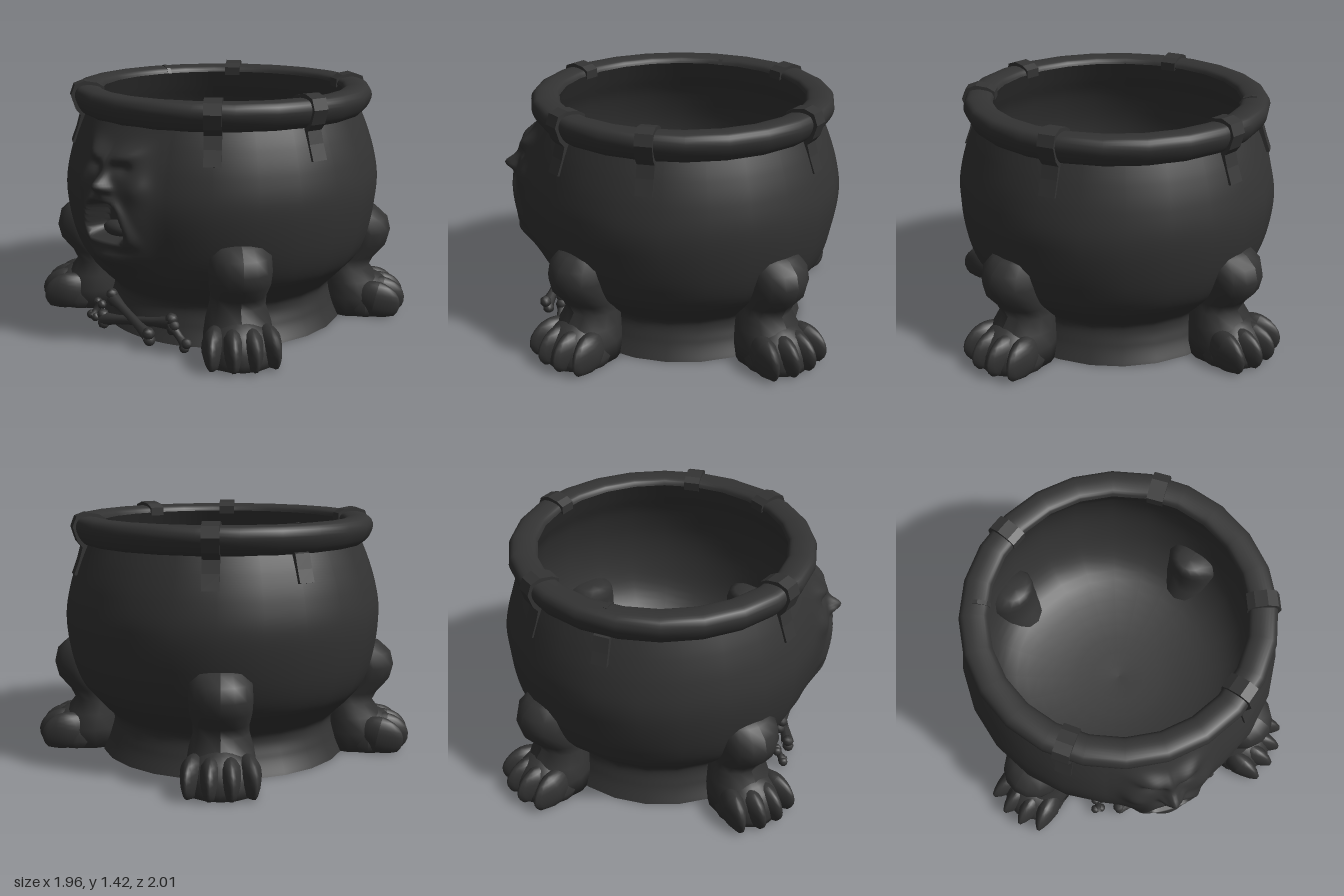
import * as THREE from 'three';

const iron = new THREE.MeshStandardMaterial({ color: 0x333333 });
iron.name = 'dark iron';

function add(parent, name, geo, x = 0, y = 0, z = 0) {
  const m = new THREE.Mesh(geo, iron);
  m.name = name;
  m.position.set(x, y, z);
  parent.add(m);
  return m;
}

// moves every vertex by a rule, then refreshes the normals
function warp(geo, rule) {
  const p = geo.attributes.position, v = new THREE.Vector3();
  for (let i = 0; i < p.count; i++) {
    rule(v.fromBufferAttribute(p, i));
    p.setXYZ(i, v.x, v.y, v.z);
  }
  geo.computeVertexNormals();
  return geo;
}

const points = list => list.map(([a, b]) => new THREE.Vector2(a, b));
const bump = (x, y, cx, cy, sx, sy) => Math.exp(-(((x - cx) / sx) ** 2) - ((y - cy) / sy) ** 2);

const bodyProfile = new THREE.SplineCurve(points([
  [0.73, 0], [0.685, 0.1], [0.665, 0.21], [0.745, 0.3], [0.83, 0.4], [0.885, 0.53],
  [0.92, 0.7], [0.927, 0.85], [0.9, 1.0], [0.855, 1.14], [0.80, 1.27],
]));

// outward relief of the shouting face
function faceRelief(px, y) {
  const x = Math.abs(px);
  let d = 0.055 * Math.exp(-((x / 0.23) ** 4) - ((y - 0.81) / 0.35) ** 4);
  d += 0.04 * bump(x, y, 0.08, 1.09 + 0.25 * (x - 0.08), 0.09, 0.045); // brows
  d -= 0.025 * bump(x, y, 0.095, 1.03, 0.05, 0.03);     // eye sockets
  d += 0.02 * bump(x, y, 0, 1.02, 0.03, 0.07);          // nose bridge
  d += 0.08 * bump(x, y, 0, 0.94, 0.036, 0.045);        // nose tip
  d += 0.03 * bump(x, y, 0.045, 0.925, 0.025, 0.022);   // nostrils
  d += 0.02 * bump(x, y, 0.2, 0.93, 0.06, 0.07);        // cheekbones
  d += 0.065 * bump(x, y, 0, 0.53, 0.13, 0.065);        // chin
  const w = 0.115 - 0.25 * (y - 0.74);                  // open mouth
  const q = ((x / w) ** 4 + ((y - 0.74) / 0.1) ** 4) ** 0.25;
  d += 0.024 * Math.exp(-(((q - 1.2) / 0.25) ** 2));
  d -= 0.13 * (1 - THREE.MathUtils.smoothstep(q, 0.88, 1.05));
  return d;
}

function buildBody(pot) {
  const gap = Math.PI / 8, outer = bodyProfile.getPoints(100);
  add(pot, 'belly', new THREE.LatheGeometry(outer, 21, gap, 2 * Math.PI - 2 * gap));
  const front = new THREE.LatheGeometry(outer, 76, -gap, 2 * gap);
  add(pot, 'face', warp(front, v => {
    const r = Math.hypot(v.x, v.z);
    const fade = THREE.MathUtils.smoothstep(gap - Math.abs(Math.atan2(v.x, v.z)), 0, 0.05);
    const k = 1 + fade * faceRelief(v.x, v.y) / r;
    v.x *= k;
    v.z *= k;
  }));
  add(pot, 'tongue', new THREE.SphereGeometry(1, 14, 10), 0, 0.675, 0.87).scale.set(0.1, 0.045, 0.055);
  add(pot, 'underside', new THREE.CircleGeometry(0.73, 24)).rotation.x = Math.PI / 2;

  // rounded rim, then the hollow inside
  const rim = new THREE.SplineCurve(points([
    [0.77, 1.235], [0.82, 1.235], [0.855, 1.27], [0.877, 1.33], [0.858, 1.378],
    [0.81, 1.392], [0.76, 1.388], [0.725, 1.375], [0.712, 1.35],
  ]));
  add(pot, 'rim', new THREE.LatheGeometry(rim.getPoints(24), 24));
  const hollow = new THREE.SplineCurve(points([
    [0.712, 1.35], [0.765, 1.24], [0.83, 1.1], [0.875, 0.9], [0.865, 0.7], [0.8, 0.5],
    [0.65, 0.36], [0.35, 0.29], [0, 0.27],
  ]));
  add(pot, 'inside', new THREE.LatheGeometry(hollow.getPoints(32), 24));
}

// strap cross-section in (radius, height), extruded to its width
function strap(pot, name, angle, outline, width) {
  const geo = new THREE.ExtrudeGeometry(new THREE.Shape(points(outline)), { depth: width, bevelEnabled: false });
  geo.translate(0, 0, -width / 2);
  geo.rotateY(-Math.PI / 2);
  add(pot, name, geo).rotation.y = angle;
}

function buildStraps(pot) {
  const full = [
    [0.70, 1.33], [0.70, 1.38], [0.74, 1.404], [0.81, 1.416], [0.868, 1.395], [0.891, 1.335],
    [0.866, 1.255], [0.838, 1.22], [0.858, 1.15], [0.89, 1.065], [0.87, 1.06], [0.835, 1.13],
    [0.80, 1.22], [0.84, 1.27], [0.84, 1.36], [0.76, 1.37],
  ];
  for (const a of [0.65, 1.33, 2.54, -2.53, -0.66]) strap(pot, 'rimStrap', a, full, 0.095);
  // the broken strap keeps only its lower end and a sliver on the rim
  strap(pot, 'brokenStrap', -1.94, [[0.8, 1.26], [0.84, 1.24], [0.865, 1.16], [0.89, 1.09], [0.865, 1.085], [0.82, 1.17]], 0.09);
  strap(pot, 'strapSliver', -1.93, [[0.70, 1.35], [0.72, 1.383], [0.77, 1.398], [0.80, 1.396], [0.78, 1.37]], 0.025);
}

// upright limb from rings of [height, forward centre, half width, half depth]
function limb(rings, sides) {
  const geo = new THREE.LatheGeometry(rings.map((r, i) => new THREE.Vector2(1, i)), sides);
  return warp(geo, v => {
    const [y, c, w, d] = rings[Math.round(v.y)];
    v.set(v.x * w, y, c + v.z * d);
  });
}

function buildLeg(pot, angle) {
  const leg = new THREE.Group();
  leg.name = 'leg';
  leg.rotation.y = angle;
  pot.add(leg);
  add(leg, 'shin', limb([
    [0, 0.8, 0.001, 0.001], [0.001, 0.8, 0.19, 0.2], [0.11, 0.8, 0.195, 0.2], [0.2, 0.78, 0.18, 0.18], [0.28, 0.75, 0.155, 0.15],
    [0.34, 0.775, 0.155, 0.155], [0.42, 0.835, 0.17, 0.165], [0.5, 0.855, 0.175, 0.165], [0.58, 0.845, 0.17, 0.155],
    [0.635, 0.815, 0.14, 0.125], [0.66, 0.79, 0.085, 0.075], [0.662, 0.78, 0.001, 0.001],
  ], 14));
  const onGround = v => { v.y = Math.max(v.y, 0); };
  const foot = new THREE.SphereGeometry(1, 16, 12).scale(0.2, 0.2, 0.2).translate(0, 0.04, 0.87);
  add(leg, 'foot', warp(foot, onGround));
  // four fanned toes, tall and narrowing to a claw in front
  for (let i = 0; i < 4; i++) {
    const s = i - 1.5;
    const toe = warp(new THREE.SphereGeometry(1, 14, 12), v => {
      if (v.z > 0) v.x *= 1 - 0.5 * v.z;
      v.set(v.x * 0.07, v.y * 0.118, v.z * 0.15);
    });
    toe.rotateX(0.2).rotateY(s * 0.16).translate(s * 0.098, 0.09, 0.975 - 0.018 * s * s);
    add(leg, 'toe', warp(toe, onGround));
  }
}

// a shaft with two knuckles at each end
function buildBone(parent, from, to, r) {
  const a = new THREE.Vector3(...from), b = new THREE.Vector3(...to);
  const len = a.distanceTo(b), bone = new THREE.Group();
  bone.name = 'bone';
  bone.position.copy(a).lerp(b, 0.5);
  bone.quaternion.setFromUnitVectors(new THREE.Vector3(0, 1, 0), b.clone().sub(a).normalize());
  parent.add(bone);
  const shaft = [[r * 1.25, -len / 2], [r * 0.85, -len / 4], [r * 0.8, 0], [r * 0.85, len / 4], [r * 1.25, len / 2]];
  add(bone, 'shaft', new THREE.LatheGeometry(points(shaft), 8));
  for (const end of [-1, 1]) for (const side of [-1, 1]) {
    add(bone, 'knuckle', new THREE.SphereGeometry(r * 1.1, 8, 6), side * r * 0.75, end * len / 2, 0);
  }
}

export function createModel() {
  const model = new THREE.Group();
  model.name = 'cauldron';
  const pot = new THREE.Group();
  pot.name = 'pot';
  pot.position.set(0.014, 0, -0.045);
  model.add(pot);
  buildBody(pot);
  buildStraps(pot);
  for (const a of [0.82, -0.965, -2.47, 2.22]) buildLeg(pot, a);

  // bones scattered at the foot of the pot
  buildBone(model, [-0.2, 0.185, 0.68], [0.19, 0.075, 0.78], 0.032);
  buildBone(model, [-0.23, 0.06, 0.73], [0.27, 0.145, 0.68], 0.032);
  buildBone(model, [-0.36, 0.035, 0.69], [-0.345, 0.105, 0.65], 0.025);
  buildBone(model, [0.28, 0.12, 0.68], [0.38, 0.045, 0.69], 0.027);
  return model;
}
